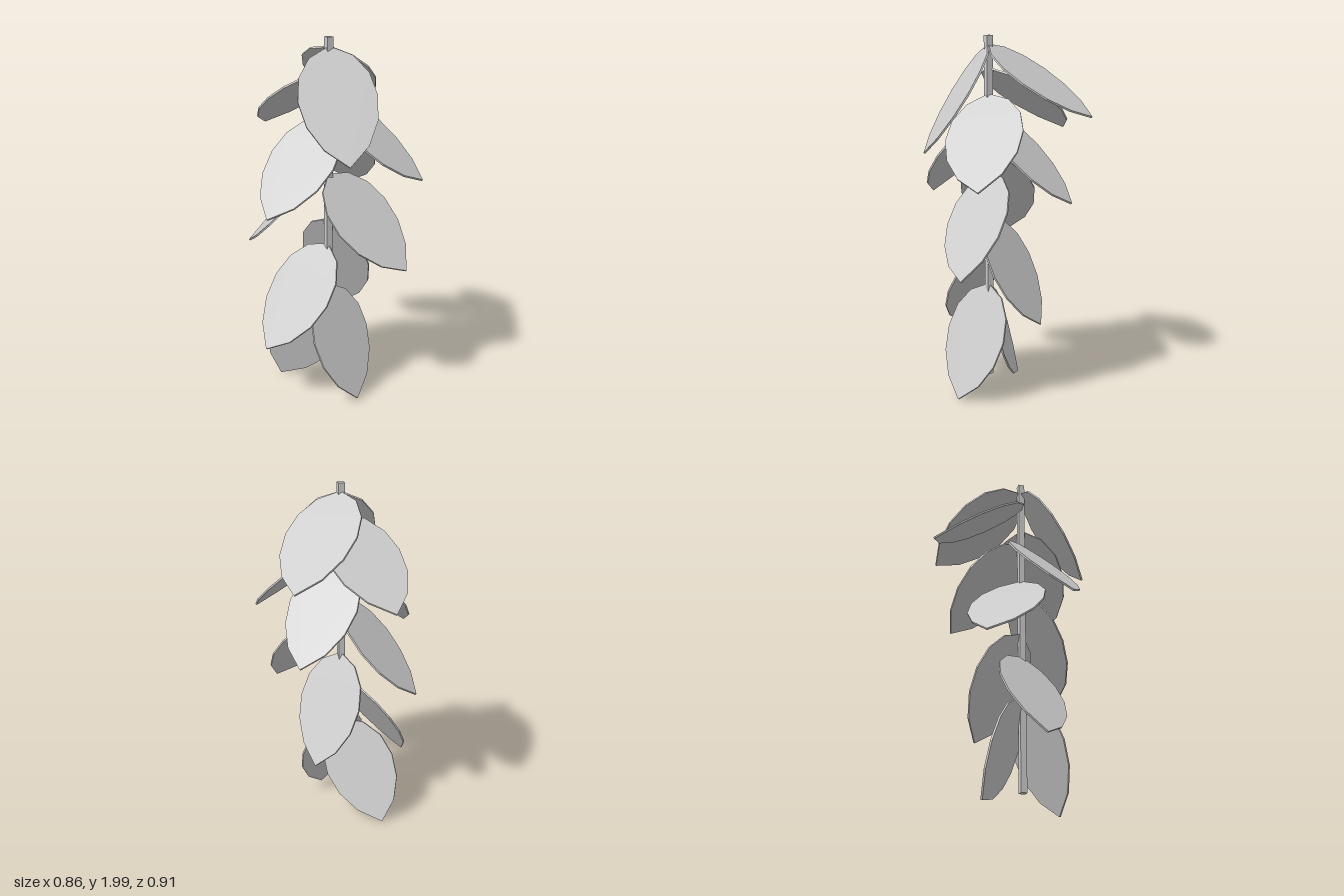
import * as THREE from 'three';

const STEM_Z = 0.1;
const LEAF_LENGTH = 0.66;
const LEAF_THICKNESS = 0.01;

// Pointed oval blade, base at the origin, tip along +y
function leafGeometry() {
  const L = LEAF_LENGTH, w = 0.28;
  const shape = new THREE.Shape();
  shape.moveTo(0, 0);
  shape.bezierCurveTo(w, 0.1 * L, w, 0.74 * L, 0, L);
  shape.bezierCurveTo(-w, 0.74 * L, -w, 0.1 * L, 0, 0);
  const geo = new THREE.ExtrudeGeometry(shape, {
    depth: LEAF_THICKNESS, bevelEnabled: false, curveSegments: 6,
  });
  return geo.translate(0, 0, -LEAF_THICKNESS / 2);
}

// Each leaf: height on the stem, tip position, direction across the blade
const LEAVES = [
  [1.95, [-0.07, 1.39, 0.45], [0.97, 0.06, 0.26]],
  [1.95, [0.375, 1.58, -0.31], [0.66, -0.12, 0.72]],
  [1.83, [-0.11, 1.47, -0.455], [-0.98, 0, 0.2]],
  [1.69, [0.41, 1.25, 0.39], [0.68, 0.15, -0.71]],
  [1.59, [-0.43, 1.11, 0.23], [-0.37, 0.08, -0.93]],
  [1.59, [0.33, 1.12, -0.22], [-0.64, 0.08, -0.75]],
  [1.35, [-0.33, 0.855, -0.215], [-0.6, -0.05, 0.8]],
  [1.27, [0.295, 0.77, 0.43], [0.9, 0.28, -0.38]],
  [1.02, [0.22, 0.43, -0.1], [0.54, -0.09, 0.84]],
  [0.875, [-0.38, 0.32, 0.09], [0.25, -0.17, 0.95]],
  [0.64, [0.06, 0.02, 0.33], [0.95, 0, -0.3]],
  [0.59, [-0.16, 0.01, -0.18], [-0.8, 0.42, -0.43]],
];

export function createModel() {
  const group = new THREE.Group();
  const material = new THREE.MeshStandardMaterial({ color: 0xcccccc, flatShading: true });

  // Square stem
  const stem = new THREE.Mesh(new THREE.BoxGeometry(0.035, 1.89, 0.035), material);
  stem.name = 'stem';
  stem.position.set(0, 1.055, STEM_Z);
  group.add(stem);

  // Drooping leaves around the stem
  const geometry = leafGeometry();
  LEAVES.forEach(([y, tip, across], i) => {
    const base = new THREE.Vector3(0, y, STEM_Z);
    const along = new THREE.Vector3(...tip).sub(base);
    const length = along.length();
    along.normalize();
    const side = new THREE.Vector3(...across);
    side.addScaledVector(along, -side.dot(along)).normalize();
    const normal = new THREE.Vector3().crossVectors(side, along);

    const leaf = new THREE.Mesh(geometry, material);
    leaf.name = `leaf${i + 1}`;
    leaf.quaternion.setFromRotationMatrix(new THREE.Matrix4().makeBasis(side, along, normal));
    leaf.position.copy(base);
    leaf.scale.y = length / LEAF_LENGTH;
    group.add(leaf);
  });

  return group;
}
